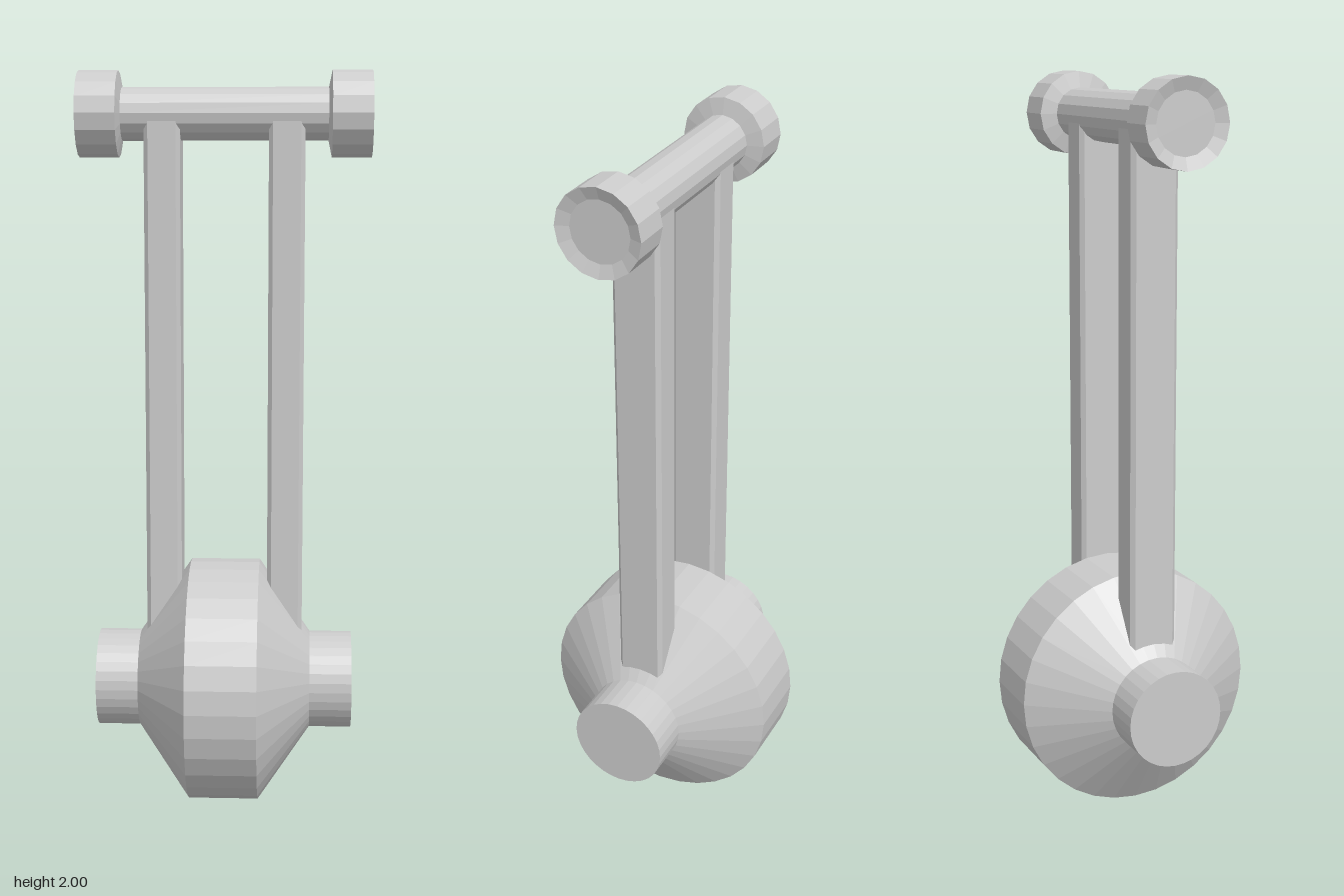
import * as THREE from 'three';

const WHEEL_Y = 0.333;
const HANDLE_Y = 1.886;

export function createModel() {
  const model = new THREE.Group();
  model.name = 'rollerWithHandle';
  const material = new THREE.MeshStandardMaterial({ color: 0xcccccc, flatShading: true });

  function add(name, geometry, x, y) {
    const mesh = new THREE.Mesh(geometry, material);
    mesh.name = name;
    mesh.position.set(x, y, 0);
    model.add(mesh);
    return mesh;
  }

  // Turned solid along x; profile is [x, radius] from low x to high x
  function turned(profile, sides) {
    const points = profile.map(([x, r]) => new THREE.Vector2(r, x));
    return new THREE.LatheGeometry(points, sides).rotateZ(-Math.PI / 2);
  }

  // Double-cone wheel with a flat rim
  add('wheel', turned([
    [-0.235, 0], [-0.235, 0.133], [-0.095, 0.333],
    [0.095, 0.333], [0.235, 0.133], [0.235, 0],
  ], 32), 0, WHEEL_Y);

  // Axle through the wheel
  add('axle', turned([
    [-0.35, 0], [-0.35, 0.133], [0.35, 0.133], [0.35, 0],
  ], 32), 0, WHEEL_Y);

  // Handle bar
  add('handleBar', turned([
    [-0.3, 0], [-0.3, 0.07], [0.3, 0.07], [0.3, 0],
  ], 16), 0, HANDLE_Y);

  // Arm section: rectangle with chamfered corners
  const w = 0.048, d = 0.066, c = 0.011;
  const section = new THREE.Shape([
    [w - c, -d], [w, c - d], [w, d - c], [w - c, d],
    [c - w, d], [-w, d - c], [-w, c - d], [c - w, -d],
  ].map(([x, y]) => new THREE.Vector2(x, y)));
  const armGeometry = new THREE.ExtrudeGeometry(section, {
    depth: HANDLE_Y - WHEEL_Y, bevelEnabled: false,
  }).rotateX(-Math.PI / 2);

  // Knob with a coned inner face and a dished outer face
  const knobGeometry = turned([
    [0.274, 0], [0.274, 0.07], [0.283, 0.114],
    [0.389, 0.114], [0.377, 0.08], [0.377, 0],
  ], 16);

  for (const side of [1, -1]) {
    const label = side > 0 ? 'left' : 'right';
    add(label + 'Arm', armGeometry, side * 0.165, WHEEL_Y);
    const knob = add(label + 'Knob', knobGeometry, 0, HANDLE_Y);
    if (side < 0) knob.rotation.y = Math.PI;
  }

  return model;
}
